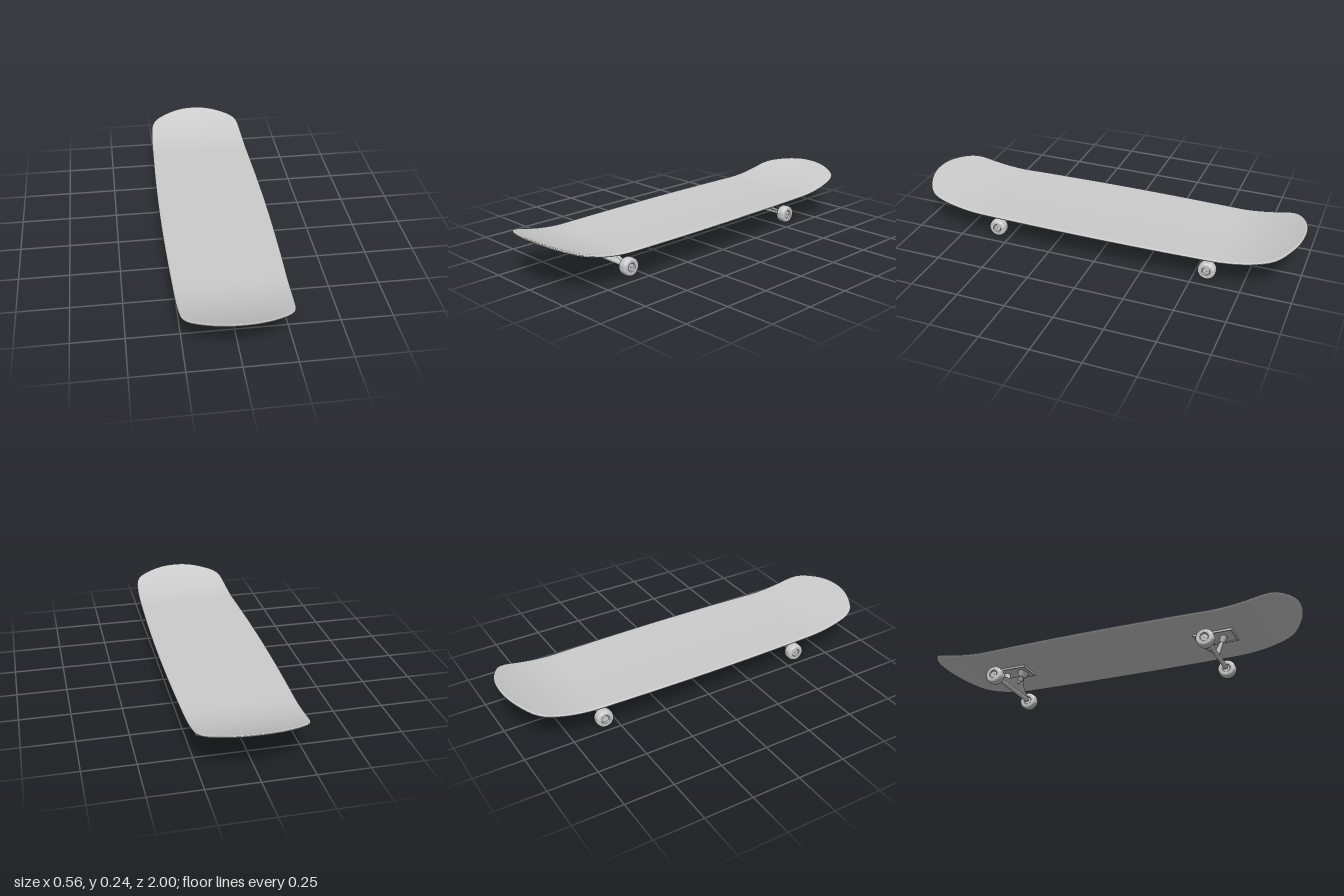
import * as THREE from 'three';
import { toCreasedNormals } from 'three/addons/utils/BufferGeometryUtils.js';

const grey = new THREE.MeshStandardMaterial({ color: 0xcccccc, side: THREE.DoubleSide });

function part(name, geometry, parent) {
  const mesh = new THREE.Mesh(geometry, grey);
  mesh.name = name;
  parent.add(mesh);
  return mesh;
}

// Tapered rod between two points in the plane x = 0, given as [y, z]
function rod(name, from, to, rFrom, rTo, sides, parent) {
  const a = new THREE.Vector3(0, ...from), b = new THREE.Vector3(0, ...to);
  const dir = b.clone().sub(a);
  const geo = new THREE.CylinderGeometry(rTo, rFrom, dir.length(), sides);
  const mesh = part(name, geo, parent);
  mesh.position.copy(a).add(b).multiplyScalar(0.5);
  mesh.quaternion.setFromUnitVectors(new THREE.Vector3(0, 1, 0), dir.normalize());
  return mesh;
}

// Deck: one plan outline repeated as rings over the top, round the rim and under
function deckGeometry() {
  const quarter = [[0.28, 0], [0.277, 0.3], [0.269, 0.6], [0.261, 0.8], [0.25, 0.88],
    [0.224, 0.922], [0.15, 0.968], [0.075, 0.993], [0, 1]];
  const half = [...quarter, ...quarter.slice(0, -1).reverse().map(([x, z]) => [-x, z])];
  const loop = [...half, ...half.slice(1, -1).reverse().map(([x, z]) => [x, -z])];
  const n = 160;
  const outline = new THREE.CatmullRomCurve3(
    loop.map(([x, z]) => new THREE.Vector3(x, 0, z)), true).getSpacedPoints(n);

  // x scale, z scale, height within the thickness
  const rings = [[0, 0.988, 1], [0.3, 0.988, 1], [0.6, 0.988, 1], [0.82, 0.988, 1], [0.965, 0.988, 1],
    [0.985, 0.996, 0.8], [0.997, 0.999, 0.4], [1, 1, 0], [0.995, 0.998, -0.5], [0.98, 0.99, -0.85],
    [0.95, 0.98, -1], [0.8, 0.98, -1], [0.6, 0.98, -1], [0.3, 0.98, -1], [0, 0.98, -1]];
  const pos = [], index = [];
  rings.forEach(([sx, sz, h], i) => {
    for (let j = 0; j < n; j++) {
      const x = outline[j].x * sx, z = outline[j].z * sz;
      const kick = 0.088 * Math.max(0, (Math.abs(z) - 0.6) / 0.4) ** 2;
      const dish = 0.005 * (x / 0.28) ** 2;
      pos.push(x, 0.15 + kick + dish + 0.007 * h, z);
      if (i === rings.length - 1) continue;
      const a = i * n + j, c = i * n + (j + 1) % n;
      index.push(a, c + n, a + n, a, c, c + n);
    }
  });
  const geo = new THREE.BufferGeometry();
  geo.setAttribute('position', new THREE.Float32BufferAttribute(pos, 3));
  geo.setIndex(index);
  geo.computeVertexNormals();
  return geo;
}

// Wheel: rounded tread with shallow dished faces
function wheelGeometry() {
  const side = [[0, 0.017], [0.018, 0.017], [0.022, 0.022], [0.036, 0.0245], [0.041, 0.022],
    [0.044, 0.017], [0.0455, 0.008]];
  const profile = [...side.map(([r, h]) => [r, -h]), ...side.slice().reverse()];
  const geo = new THREE.LatheGeometry(profile.map(([r, h]) => new THREE.Vector2(r, h)), 32);
  geo.rotateZ(Math.PI / 2);
  return toCreasedNormals(geo, 0.7);
}

// Hanger web: concave triangle leaning towards the kingpin
function webGeometry() {
  const right = [[0.15, 0.05], [0.14, 0.058], [0.09, 0.07], [0.052, 0.085], [0.024, 0.104], [0.012, 0.11]];
  const pts = [...right, ...right.slice().reverse().map(([x, y]) => [-x, y])];
  const geo = new THREE.ExtrudeGeometry(new THREE.Shape(pts.map(([x, y]) => new THREE.Vector2(x, y))),
    { depth: 0.018, bevelEnabled: false });
  const p = geo.attributes.position;
  for (let i = 0; i < p.count; i++) p.setZ(i, p.getZ(i) - 0.009 - 0.8 * (p.getY(i) - 0.05));
  geo.computeVertexNormals();
  return geo;
}

// Raised rim under the baseplate
function rimGeometry() {
  const rect = (w, d) => [[-w, -d], [w, -d], [w, d], [-w, d]].map(([x, y]) => new THREE.Vector2(x, y));
  const shape = new THREE.Shape(rect(0.065, 0.1));
  shape.holes.push(new THREE.Path(rect(0.058, 0.093)));
  const geo = new THREE.ExtrudeGeometry(shape, { depth: 0.005, bevelEnabled: false });
  return geo.rotateX(Math.PI / 2);
}

// Truck centred on its axle, kingpin towards -z
function makeTruck(name) {
  const truck = new THREE.Group();
  truck.name = name;
  part('baseplate', new THREE.BoxGeometry(0.13, 0.008, 0.2), truck).position.y = 0.141;
  part('baseplateRim', rimGeometry(), truck).position.y = 0.138;

  // Steering parts
  rod('kingpinHousing', [0.108, -0.048], [0.138, -0.062], 0.021, 0.033, 8, truck);
  rod('bushing', [0.088, -0.036], [0.108, -0.048], 0.016, 0.019, 16, truck);
  rod('kingpinNut', [0.074, -0.03], [0.088, -0.036], 0.009, 0.009, 6, truck);
  rod('pivotArm', [0.05, 0.004], [0.112, 0.032], 0.014, 0.009, 12, truck);
  rod('pivotCup', [0.105, 0.029], [0.138, 0.042], 0.013, 0.019, 12, truck);

  // Hanger and axle
  part('hangerWeb', webGeometry(), truck);
  const beam = new THREE.CylinderGeometry(0.0115, 0.0115, 0.321, 20).rotateZ(Math.PI / 2);
  part('hangerBeam', beam, truck).position.y = 0.0455;
  const axle = new THREE.CylinderGeometry(0.004, 0.004, 0.42, 12).rotateZ(Math.PI / 2);
  part('axle', axle, truck).position.y = 0.0455;

  for (const s of [1, -1]) {
    const wheel = part(s > 0 ? 'wheelA' : 'wheelB', wheelGeometry(), truck);
    wheel.position.set(s * 0.1915, 0.0455, 0);
  }
  return truck;
}

export function createModel() {
  const model = new THREE.Group();
  model.name = 'skateboard';
  part('deck', deckGeometry(), model);
  const front = makeTruck('frontTruck');
  front.position.set(-0.0115, 0, 0.566);
  const rear = makeTruck('rearTruck');
  rear.position.set(-0.0115, 0, -0.568);
  rear.rotation.y = Math.PI;
  model.add(front, rear);
  return model;
}
